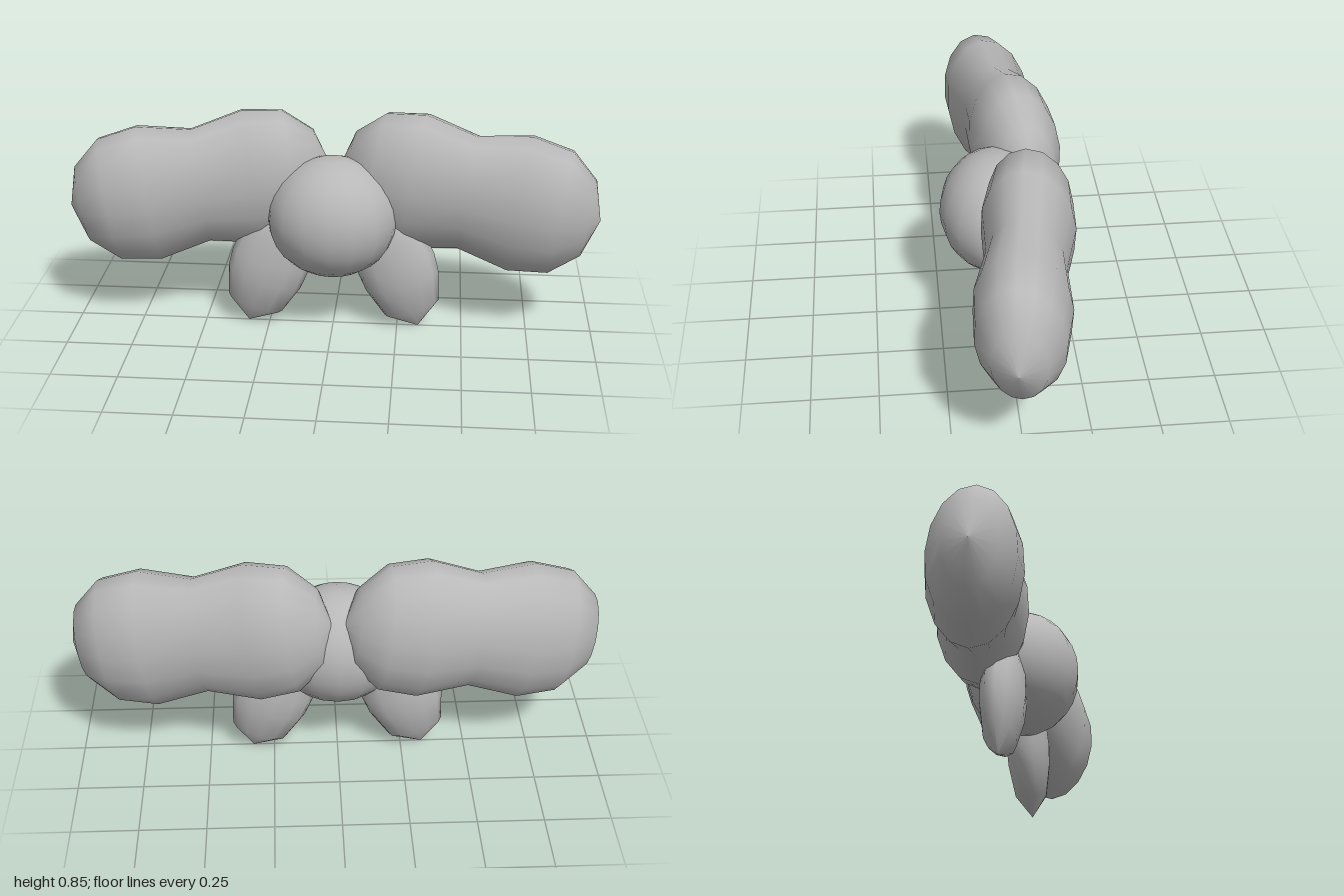
import * as THREE from 'three';

const grey = new THREE.MeshStandardMaterial({ color: 0xb8b8b8 });
grey.name = 'grey';

// Turned shape from [radius, height] points, listed from bottom to top
function turned(points, segments) {
  return new THREE.LatheGeometry(points.map(([r, y]) => new THREE.Vector2(r, y)), segments);
}

function add(group, name, geometry) {
  const mesh = new THREE.Mesh(geometry, grey);
  mesh.name = name;
  group.add(mesh);
  return mesh;
}

export function createModel() {
  const bow = new THREE.Group();
  bow.name = 'bow';

  // Round centre knot
  const knot = add(bow, 'knot', new THREE.SphereGeometry(1, 16, 14));
  knot.scale.set(0.25, 0.235, 0.215);
  knot.position.set(0, 0.465, 0.025);

  // Flattened peanut-shaped loop, lying along x
  const half = [[0.232, 0], [0.277, 0.2], [0.251, 0.352], [0.155, 0.457], [0, 0.502]];
  const lower = half.slice(1).reverse().map(([r, y]) => [r, -y]);
  const loopGeometry = turned([...lower, ...half], 16);
  loopGeometry.rotateZ(-Math.PI / 2);
  loopGeometry.scale(1, 1, 0.62);

  // Short pointed tail, thin from front to back
  const tailGeometry = turned([
    [0, -0.277], [0.11, -0.195], [0.147, -0.075], [0.153, 0], [0.14, 0.1], [0.1, 0.2], [0, 0.26],
  ], 12);
  tailGeometry.scale(1, 1, 0.54);

  for (const [side, label] of [[1, 'left'], [-1, 'right']]) {
    const loop = add(bow, label + 'Loop', loopGeometry);
    loop.position.set(side * 0.51, 0.553, -0.035);
    loop.rotation.set(0.07, side * -0.15, side * -0.137, 'YZX');

    const tail = add(bow, label + 'Tail', tailGeometry);
    tail.position.set(side * 0.243, 0.265, 0);
    tail.rotation.z = side * 0.325;
  }
  return bow;
}
